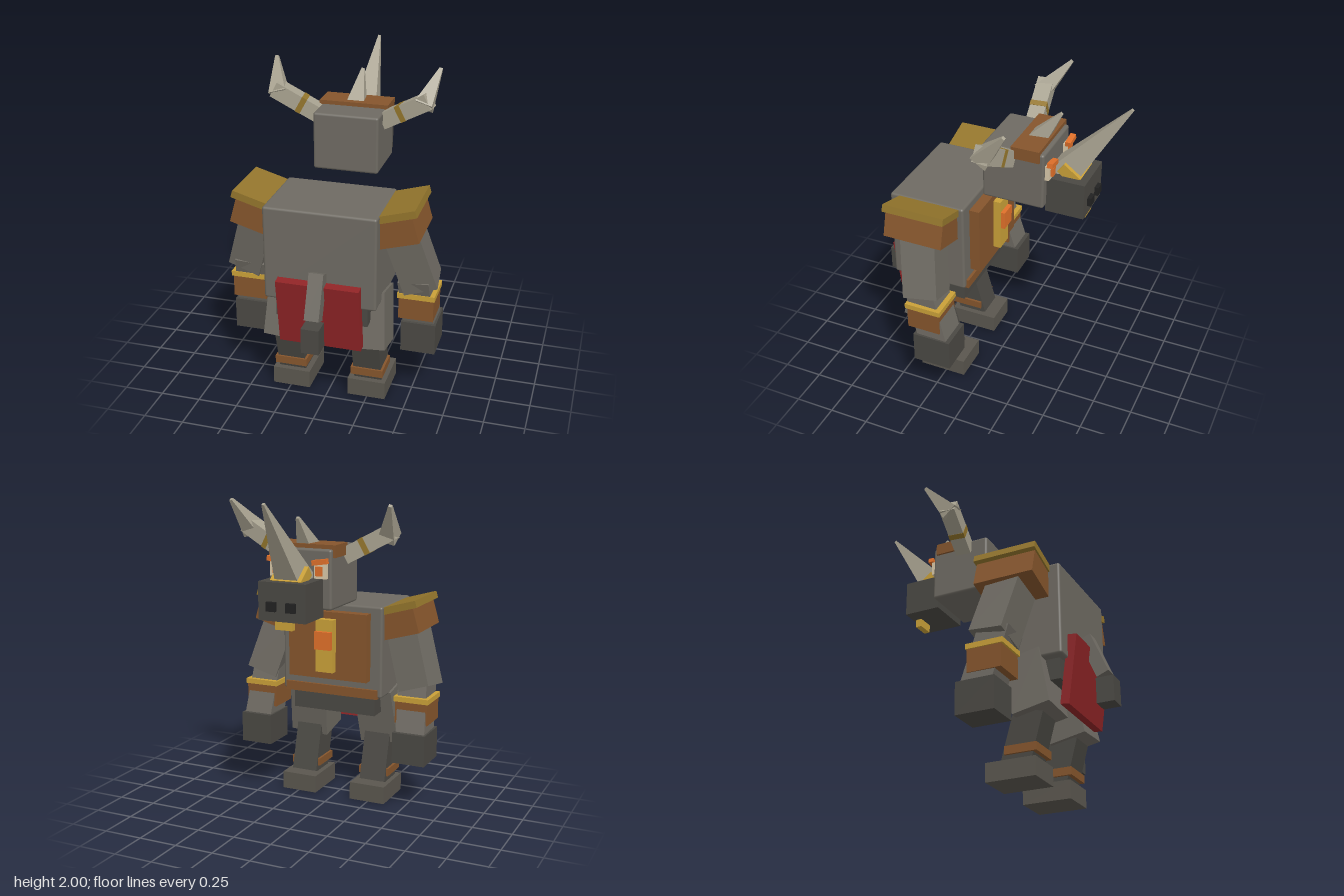
import * as THREE from 'three';
import { RoundedBoxGeometry } from 'three/addons/geometries/RoundedBoxGeometry.js';

const mat = (color) => new THREE.MeshStandardMaterial({ color });
const hide = mat(0x6e6a62), dark = mat(0x4a4843), hoof = mat(0x5a564e), leather = mat(0x85552c);
const gold = mat(0xc9a038), oldGold = mat(0x93752c), ivory = mat(0xa8a290), red = mat(0x8f2426);
const ember = mat(0xe0702a), bone = mat(0xd8c8a8), black = mat(0x222222);

function add(parent, name, geometry, material, pos, rot = [0, 0, 0]) {
  const mesh = new THREE.Mesh(geometry, material);
  mesh.name = name;
  mesh.position.set(...pos);
  mesh.rotation.set(...rot);
  parent.add(mesh);
  return mesh;
}

// box by size and centre
const box = (parent, name, material, size, pos, rot) =>
  add(parent, name, new THREE.BoxGeometry(...size), material, pos, rot);

// softly bevelled box
const softBox = (parent, name, material, size, pos) =>
  add(parent, name, new RoundedBoxGeometry(...size, 2, 0.015), material, pos);

// four-sided spike from base centre to tip, with half widths at both ends
function spike(parent, name, base, tip, halfBase, halfTip) {
  const a = new THREE.Vector3(...base), b = new THREE.Vector3(...tip);
  const dir = b.clone().sub(a);
  const geo = new THREE.CylinderGeometry(halfTip * Math.SQRT2, halfBase * Math.SQRT2, dir.length(), 4)
    .rotateY(Math.PI / 4).toNonIndexed();
  geo.computeVertexNormals();
  const mesh = add(parent, name, geo, ivory, a.clone().add(b).multiplyScalar(0.5).toArray());
  mesh.quaternion.setFromUnitVectors(new THREE.Vector3(0, 1, 0), dir.normalize());
  return mesh;
}

function buildBody(root) {
  const body = new THREE.Group();
  body.name = 'body';
  root.add(body);
  softBox(body, 'torso', hide, [0.69, 0.59, 0.49], [0, 1.005, 0.352]);
  box(body, 'pelvis', dark, [0.57, 0.14, 0.42], [0, 0.65, 0.35]);
  box(body, 'belt', leather, [0.64, 0.06, 0.05], [0, 0.735, 0.115]);
  box(body, 'chestPlate', leather, [0.54, 0.435, 0.065], [0, 1.04, 0.068]);
  box(body, 'chestStrip', gold, [0.12, 0.34, 0.05], [0, 1.045, 0.013]);
  box(body, 'chestGem', ember, [0.11, 0.115, 0.03], [0, 1.083, -0.024]);
  // cloth and tail at the rear
  box(body, 'loincloth', red, [0.51, 0.43, 0.055], [0, 0.645, 0.598], [0.14, 0, 0]);
  box(body, 'tail', hide, [0.09, 0.28, 0.08], [0, 0.8, 0.672], [-0.39, 0, 0]);
  box(body, 'tailTuft', dark, [0.11, 0.16, 0.11], [0, 0.565, 0.74]);
}

function buildHead(root) {
  const head = new THREE.Group();
  head.name = 'head';
  root.add(head);
  softBox(head, 'skull', hide, [0.41, 0.36, 0.387], [0, 1.525, -0.153]);
  box(head, 'snout', dark, [0.305, 0.228, 0.24], [0, 1.419, -0.46]);
  box(head, 'headBand', leather, [0.437, 0.075, 0.177], [0, 1.692, -0.233]);
  box(head, 'noseRing', gold, [0.11, 0.06, 0.04], [0, 1.282, -0.54]);
  // nose horn with its collar, and the crest horn
  box(head, 'noseHornCollar', gold, [0.2, 0.07, 0.13], [0, 1.547, -0.462], [-0.64, 0, 0]);
  spike(head, 'noseHorn', [0, 1.5, -0.4], [0, 1.995, -0.785], 0.088, 0.008);
  spike(head, 'crestHorn', [0, 1.68, -0.22], [0, 1.885, -0.37], 0.058, 0.009);

  for (const s of [1, -1]) {
    const side = s > 0 ? 'left' : 'right';
    // eyes and nostrils
    box(head, side + 'Eye', bone, [0.08, 0.09, 0.035], [s * 0.145, 1.58, -0.355]);
    box(head, side + 'Pupil', ember, [0.04, 0.055, 0.03], [s * 0.14, 1.58, -0.373]);
    box(head, side + 'Brow', ember, [0.095, 0.03, 0.035], [s * 0.147, 1.635, -0.378], [0, 0, s * 0.15]);
    box(head, side + 'Nostril', black, [0.06, 0.055, 0.025], [s * 0.063, 1.392, -0.592]);
    // side horn: root block, band and curved-up tip
    const horn = new THREE.Group();
    horn.name = side + 'Horn';
    horn.position.set(s * 0.345, 1.725, -0.103);
    horn.rotation.set(0, s * -0.12, s * 0.5);
    head.add(horn);
    box(horn, 'hornRoot', ivory, [0.33, 0.1, 0.1], [0, 0, 0]);
    box(horn, 'hornBand', oldGold, [0.035, 0.104, 0.104], [s * -0.03, 0, 0]);
    spike(head, side + 'HornTip', [s * 0.455, 1.765, -0.075], [s * 0.522, 1.962, -0.235], 0.055, 0.01);
  }
}

function buildArm(root, s) {
  const arm = new THREE.Group();
  arm.name = s > 0 ? 'leftArm' : 'rightArm';
  root.add(arm);
  // shoulder armour tilted up and outward
  box(arm, 'shoulderPad', leather, [0.3, 0.17, 0.38], [s * 0.407, 1.19, 0.335], [0, 0, s * 0.28]);
  box(arm, 'shoulderCap', oldGold, [0.32, 0.045, 0.4], [s * 0.4, 1.288, 0.335], [0, 0, s * 0.28]);
  box(arm, 'upperArm', hide, [0.21, 0.44, 0.22], [s * 0.487, 0.98, 0.3], [0.13, s * 0.1, s * 0.3]);
  box(arm, 'forearm', hide, [0.19, 0.38, 0.19], [s * 0.53, 0.66, 0.245], [0.28, 0, s * 0.07]);
  box(arm, 'cuff', leather, [0.215, 0.15, 0.215], [s * 0.532, 0.632, 0.25]);
  box(arm, 'cuffTrim', gold, [0.23, 0.033, 0.235], [s * 0.532, 0.715, 0.252]);
  box(arm, 'fist', dark, [0.215, 0.2, 0.245], [s * 0.542, 0.41, 0.198]);
}

function buildLeg(root, s) {
  const leg = new THREE.Group();
  leg.name = s > 0 ? 'leftLeg' : 'rightLeg';
  root.add(leg);
  box(leg, 'thigh', hide, [0.26, 0.36, 0.235], [s * 0.243, 0.56, 0.38], [-0.2, 0, s * 0.07]);
  box(leg, 'shin', dark, [0.175, 0.32, 0.185], [s * 0.247, 0.25, 0.335], [0.27, 0, 0]);
  box(leg, 'ankleBand', leather, [0.205, 0.05, 0.2], [s * 0.247, 0.177, 0.33]);
  box(leg, 'foot', hoof, [0.24, 0.115, 0.31], [s * 0.245, 0.0575, 0.275]);
}

export function createModel() {
  const root = new THREE.Group();
  root.name = 'hornedBeast';
  buildBody(root);
  buildHead(root);
  for (const s of [1, -1]) {
    buildArm(root, s);
    buildLeg(root, s);
  }
  return root;
}
